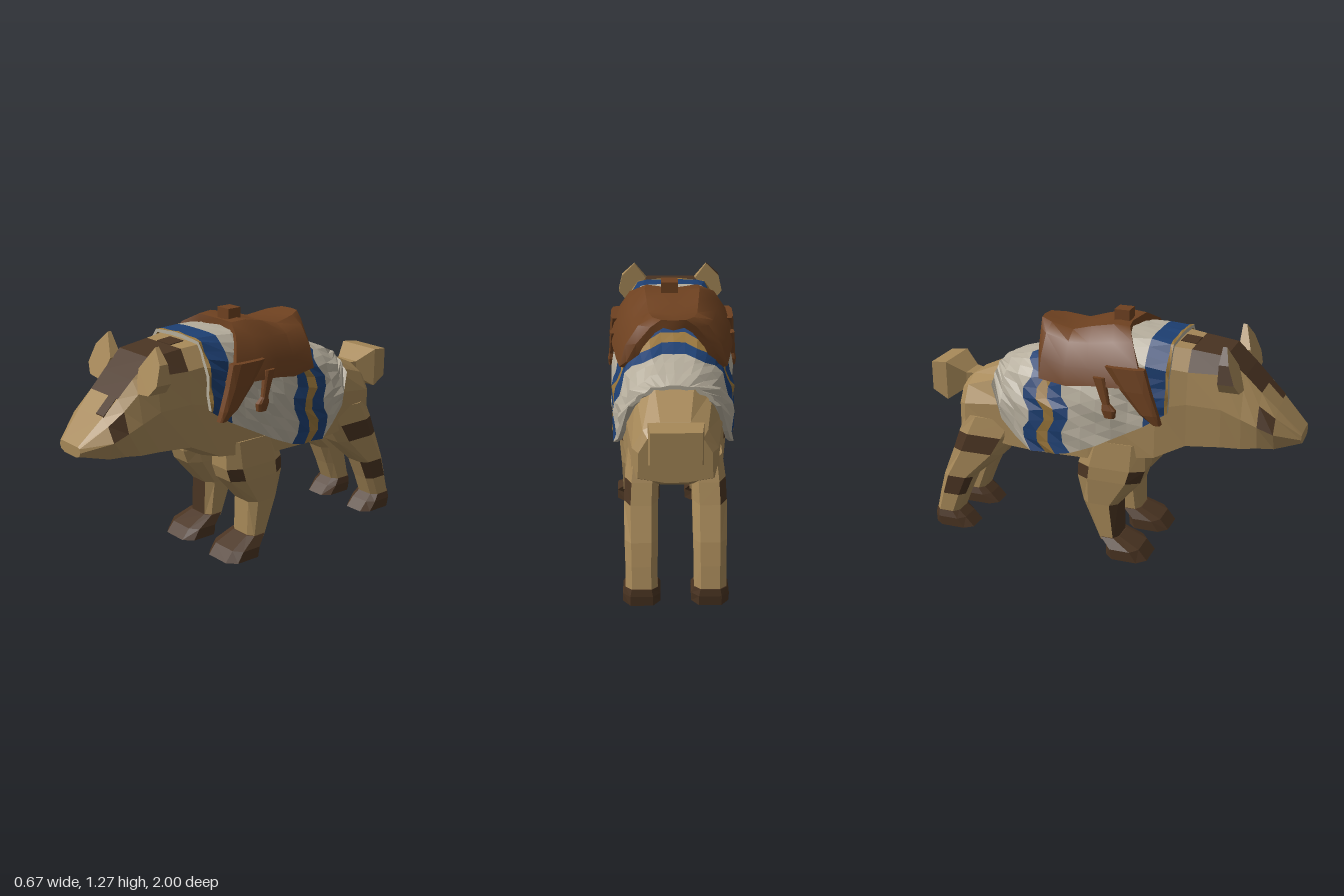
import * as THREE from 'three';
import { toCreasedNormals } from 'three/addons/utils/BufferGeometryUtils.js';

const mat = (name, color) => Object.assign(new THREE.MeshStandardMaterial({ color }), { name });
const V = (x, y, z) => new THREE.Vector3(x, y, z);
const lerp = THREE.MathUtils.lerp;

// Skin closed rings of equal point count; pick(i, j) gives the material index of each face.
function loft(rings, pick = () => 0) {
  const buckets = [];
  let volume = 0;
  const tri = (m, a, b, c) => {
    volume += a.dot(V().crossVectors(b, c));
    (buckets[m] ??= []).push([a, b, c]);
  };
  const quad = (m, a, b, c, d) => { tri(m, a, b, c); tri(m, a, c, d); };
  const n = rings[0].length, last = rings.length - 1;
  for (let i = 0; i < last; i++)
    for (let j = 0; j < n; j++) {
      const k = (j + 1) % n;
      quad(pick(i, j), rings[i][j], rings[i][k], rings[i + 1][k], rings[i + 1][j]);
    }
  const A = rings[0], B = rings[last];
  for (let j = 0; j < n / 2 - 1; j++) {
    quad(0, A[j + 1], A[j], A[n - 1 - j], A[n - 2 - j]);
    quad(0, B[j], B[j + 1], B[n - 2 - j], B[n - 1 - j]);
  }
  const pos = [], geo = new THREE.BufferGeometry();
  buckets.forEach((tris, m) => {
    geo.addGroup(pos.length / 3, tris.length * 3, m);
    for (const [a, b, c] of tris)
      for (const p of volume < 0 ? [a, c, b] : [a, b, c]) pos.push(p.x, p.y, p.z);
  });
  geo.setAttribute('position', new THREE.Float32BufferAttribute(pos, 3));
  geo.computeVertexNormals();
  return geo;
}

// Chamfered rectangle lying flat at height y
const CORNERS = [[.6, 1], [1, .6], [1, -.6], [.6, -1], [-.6, -1], [-1, -.6], [-1, .6], [-.6, 1]];
const flatRing = (s, [y, xc, zc, hx, hz]) => CORNERS.map(([a, b]) => V(s * (xc + a * hx), y, zc + b * hz));
// Upright rectangle across x at depth z
const crossRing = (z, x0, x1, y0, y1) => [V(x1, y1, z), V(x1, y0, z), V(x0, y0, z), V(x0, y1, z)];

// Body sections: z, then five (half width, height) pairs from spine to belly
const BODY = [
  [1.00, .07, .745, .085, .74, .09, .72, .08, .70, .05, .69],
  [.88, .10, .87, .15, .84, .195, .77, .15, .68, .08, .67],
  [.80, .115, .95, .165, .90, .20, .80, .17, .68, .08, .655],
  [.72, .12, 1.03, .17, .97, .20, .83, .18, .67, .08, .64],
  [.62, .13, 1.12, .18, 1.04, .205, .87, .195, .67, .10, .635],
  [.45, .14, 1.14, .20, 1.04, .22, .88, .215, .66, .10, .63],
  [.30, .165, 1.155, .225, 1.06, .245, .85, .255, .59, .10, .555],
  [-.05, .15, 1.14, .235, 1.03, .27, .82, .265, .54, .10, .495],
  [-.35, .12, 1.0, .205, .93, .25, .78, .25, .53, .10, .46],
  [-.50, .10, .97, .185, .90, .235, .76, .23, .53, .08, .48],
  [-.77, .07, .85, .15, .81, .20, .72, .205, .56, .06, .53],
];
const pairs = row => [0, 1, 2, 3, 4].map(k => [row[1 + 2 * k], row[2 + 2 * k]]);
function bodyAt(z) {
  let i = 0;
  while (i < BODY.length - 2 && BODY[i + 1][0] > z) i++;
  const a = BODY[i], b = BODY[i + 1], t = (z - a[0]) / (b[0] - a[0]);
  return pairs(a.map((v, k) => lerp(v, b[k], t)));
}

// Blanket hem height along z
const HEM = [[.37, .84], [.25, .76], [0, .63], [-.16, .56], [-.38, .55], [-.53, .69], [-.62, .90]];
function hemAt(z) {
  let i = 0;
  while (i < HEM.length - 2 && HEM[i + 1][0] > z) i++;
  const [a, b] = [HEM[i], HEM[i + 1]];
  return lerp(a[1], b[1], (z - a[0]) / (b[0] - a[0]));
}
// Point at fraction s of the way from the spine to the hem
function drape(z, s) {
  const section = bodyAt(z).slice(0, 4), hem = hemAt(z);
  const pts = [[0, section[0][1]], ...section, [section[3][0], .4]];
  const cut = [pts[0]];
  for (let i = 1; i < pts.length; i++) {
    const a = pts[i - 1], b = pts[i];
    if (b[1] > hem) { cut.push(b); continue; }
    cut.push([lerp(a[0], b[0], (a[1] - hem) / (a[1] - b[1])), hem]);
    break;
  }
  const len = cut.slice(1).map((p, i) => Math.hypot(p[0] - cut[i][0], p[1] - cut[i][1]));
  let d = s * len.reduce((a, b) => a + b, 0), i = 0;
  while (i < len.length - 1 && d > len[i]) d -= len[i++];
  const t = Math.min(1, d / len[i]);
  return [lerp(cut[i][0], cut[i + 1][0], t), lerp(cut[i][1], cut[i + 1][1], t)];
}

export function createModel() {
  const root = new THREE.Group();
  const tan = mat('tan fur', 0xa68858), dark = mat('dark fur', 0x4a3422);
  const leather = mat('saddle leather', 0x6e4120), cream = mat('cream cloth', 0xb5ad9c);
  const blue = mat('blue cloth', 0x1d3f72), gold = mat('gold cloth', 0x98753a);
  const fur = [tan, dark];
  const add = (name, geo, m) => {
    const mesh = new THREE.Mesh(geo, m);
    mesh.name = name;
    root.add(mesh);
    return mesh;
  };

  // Head and body; face 9 is the spine strip, 0/8 upper, 1/7 middle and 2/6 lower side
  const bodyRings = BODY.map(r => {
    const p = pairs(r);
    return [...p.map(([x, y]) => V(x, y, r[0])), ...p.reverse().map(([x, y]) => V(-x, y, r[0]))];
  });
  // Rounded rump: the last section again, drawn in
  bodyRings.push(bodyRings.at(-1).map(p => V(p.x * .85, lerp(p.y, .68, .2), -.81)));
  add('body', loft(bodyRings, (i, j) => {
    if (j === 9) return +(i >= 2 && i <= 4);
    if (j === 1 || j === 7) return +(i === 1);
    return +((j === 0 || j === 8) && i === 4);
  }), fur);

  // Thin fur patches: nape, left brow, chest
  const patch = (name, x0, x1, z0, y0, z1, y1) =>
    add(name, loft([crossRing(z0, x0, x1, y0 - .004, y0 + .004), crossRing(z1, x0, x1, y1 - .004, y1 + .004)]), dark);
  patch('napePatch', -.055, .055, .45, 1.14, .37, 1.148);
  patch('browPatch', .04, .105, .875, .875, .80, .95);
  patch('chestPatch', -.06, .04, .41, .61, .36, .585);

  // Tail, flaring to a blunt end
  const tail = [[-.76, .05, .78, .84], [-.82, .07, .76, .845], [-.91, .125, .70, .91], [-1, .115, .745, .90]];
  add('tail', loft(tail.map(([z, w, y0, y1]) => crossRing(z, -w, w, y0, y1)),
    (i, j) => +(i === 2 && j === 1)), fur);

  for (const s of [-1, 1]) {
    const side = s > 0 ? 'left' : 'right';
    // Ears, wedge shaped towards the tip
    const ear = [[.12, 1.08], [.20, 1.19], [.27, 1.12], [.29, 1.03], [.25, .98], [.15, .97]];
    const earRing = (z, slope) => ear.map(([x, y]) => V(s * x, y, z + (1.19 - y) * slope));
    add(side + 'Ear', loft([earRing(.62, 0), earRing(.64, .38)],
      (i, j) => +(s < 0 && (j === 1 || j === 2))), fur);

    // Legs: height, x, z, half width, half depth
    const front = [[.64, .18, .09, .085, .16], [.50, .18, .07, .10, .18], [.43, .18, .055, .10, .17],
      [.29, .18, .01, .09, .095], [.09, .18, .055, .085, .055]];
    add(side + 'FrontLeg', loft(front.map(r => flatRing(s, r)), (i, j) =>
      +(i === 1 && [0, 2].includes(j) || i === 3 && [0, 7].includes(j) && s < 0)), fur);
    const hind = [[.66, .15, -.60, .07, .17], [.56, .155, -.65, .08, .16], [.46, .16, -.70, .08, .145],
      [.30, .16, -.825, .078, .085], [.19, .16, -.866, .075, .075], [.07, .16, -.905, .075, .065]];
    add(side + 'HindLeg', loft(hind.map(r => flatRing(s, r)), (i, j) =>
      +(i === 1 && [1, 2].includes(j) || i === 3 && [0, 1].includes(j))), fur);

    // Paws, low wedges pointing forward
    const frontPaw = [[.105, .18, .057, .09, .057], [.055, .185, .135, .115, .09], [0, .185, .158, .115, .112]];
    add(side + 'FrontPaw', loft(frontPaw.map(r => flatRing(s, r))), dark);
    const hindPaw = [[.085, .16, -.903, .077, .067], [.05, .16, -.885, .088, .09], [0, .16, -.86, .088, .112]];
    add(side + 'HindPaw', loft(hindPaw.map(r => flatRing(s, r))), dark);

    // Hanging front flap and stirrup of the saddle
    const flap = [[1.06, .29, .16, .028, .10], [.95, .30, .22, .028, .075],
      [.84, .305, .29, .026, .045], [.79, .30, .33, .022, .02]];
    add(side + 'SaddleFlap', loft(flap.map(r => flatRing(s, r))), leather);
    const stirrup = [[1.0, .30, .03, .02, .03], [.87, .315, .07, .014, .018],
      [.84, .317, .085, .018, .035], [.80, .314, .09, .018, .025]];
    add(side + 'Stirrup', loft(stirrup.map(r => flatRing(s, r))), leather);
  }

  // Blanket: bands along z, the stripe bands zigzag down each side
  const bands = [.37, .355, .25, .17, .09, .01, -.07, -.15, -.23, -.29, -.37, -.45, -.53, -.60];
  const cloth = [2, 1, 0, 0, 0, 0, 0, 1, 2, 1, 0, 0, 0];
  const K = 12;
  const blanketRings = bands.map((z0, i) => {
    const layer = thick => {
      const half = [];
      for (let k = 0; k <= K; k++) {
        const s = k / K, stripe = i >= 7 && i <= 10;
        const z = z0 + (stripe ? (k % 4 < 2 ? .02 : -.02) - .025 * (1 - s) : 0);
        const flare = i > 3 && i < 11 ? .014 * s : 0;
        const off = thick + flare + .007 * Math.sin(i * 2.4 + k * 1.7) * (s > .3 ? 1 : .3);
        const [x, y] = drape(z, s);
        half.push(V(x + off * Math.min(1, s * 1.5), y + off * (1 - s), z));
      }
      const mirror = half.slice(1).reverse().map(p => V(-p.x, p.y, p.z));
      return [...mirror, ...half];
    };
    return [...layer(.034), ...layer(.012).reverse()];
  });
  add('blanket', loft(blanketRings, i => cloth[i]), [cream, blue, gold]);

  // Saddle: centre z, edge z, then half section from the middle to the lower edge
  const SADDLE = [
    [.10, .28, [0, 1.21], [.13, 1.22], [.22, 1.17], [.285, 1.06], [.305, .98]],
    [.03, .14, [0, 1.215], [.14, 1.225], [.23, 1.16], [.30, 1.04], [.32, .96]],
    [-.08, -.02, [0, 1.19], [.13, 1.20], [.22, 1.14], [.285, 1.03], [.31, .95]],
    [-.18, -.16, [0, 1.16], [.12, 1.17], [.20, 1.13], [.265, 1.02], [.285, .925]],
    [-.30, -.31, [0, 1.18], [.10, 1.19], [.17, 1.15], [.235, 1.05], [.265, .94]],
    [-.38, -.325, [0, 1.20], [.06, 1.20], [.11, 1.16], [.18, 1.07], [.23, .97]],
  ];
  const saddleRings = SADDLE.map(([zc, ze, ...pts]) => {
    const layer = (dx, dy) => {
      const half = pts.map(([x, y], k) =>
        V(Math.max(0, x - dx * k / 4), y - dy * (1 - k / 5), lerp(zc, ze, (k / 4) ** 1.3)));
      return [...half.slice(1).reverse().map(p => V(-p.x, p.y, p.z)), ...half];
    };
    return [...layer(0, 0), ...layer(.04, .05).reverse()];
  });
  add('saddle', toCreasedNormals(loft(saddleRings), .6), leather);
  add('saddleHorn', new THREE.BoxGeometry(.086, .08, .08), leather).position.set(.014, 1.228, .05);

  return root;
}
